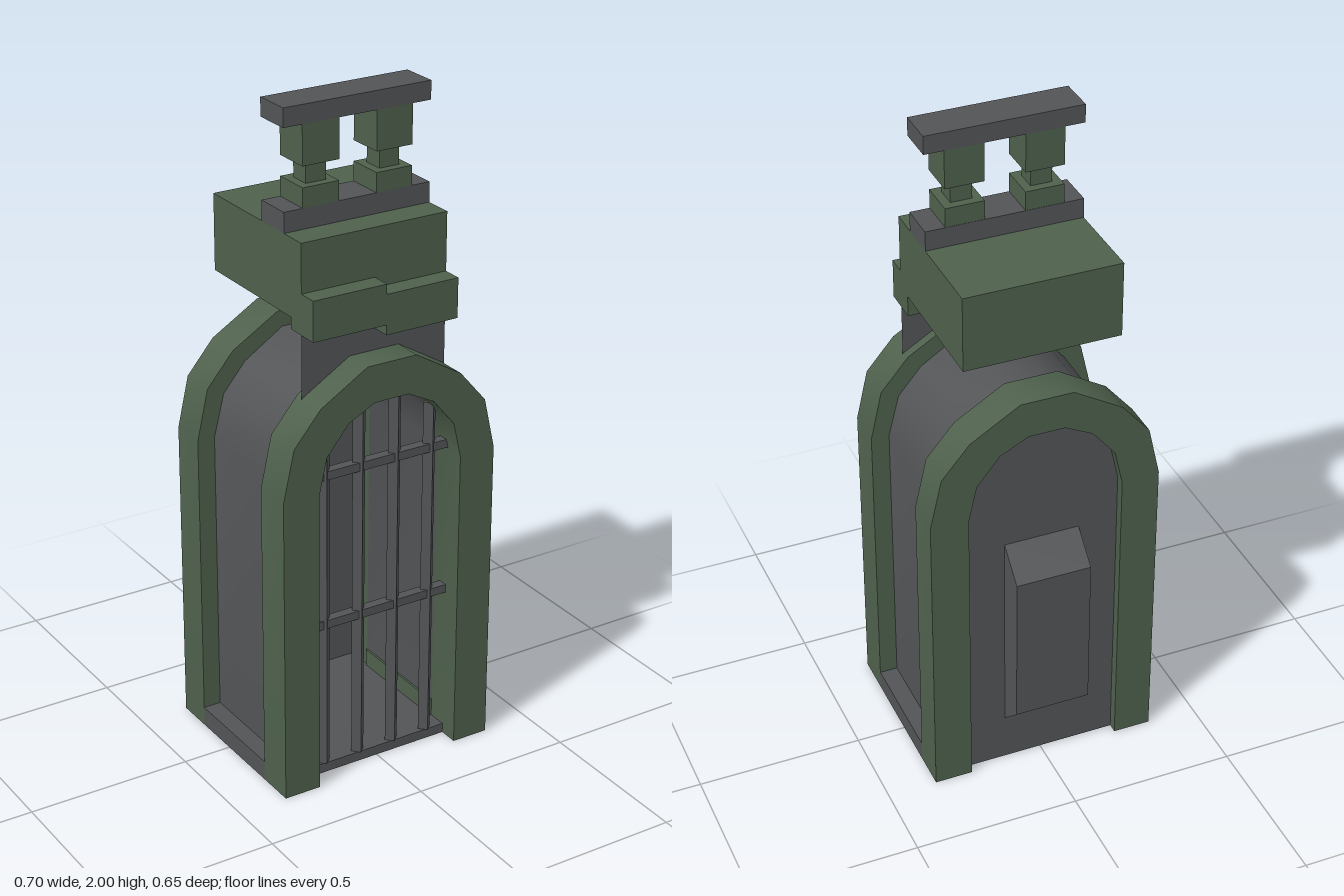
import * as THREE from 'three';
import { toCreasedNormals } from 'three/addons/utils/BufferGeometryUtils.js';

const green = new THREE.MeshStandardMaterial({ color: 0x4e604c, name: 'green paint' });
const grey = new THREE.MeshStandardMaterial({ color: 0x525456, name: 'grey metal' });
const greyThin = new THREE.MeshStandardMaterial({ color: 0x525456, name: 'grey sheet', side: THREE.DoubleSide });

// Half profiles of the arches, from the foot to the crown
const OUTER = [[0.35, 0], [0.35, 0.945], [0.315, 1.1], [0.23, 1.2], [0.08, 1.29]];
const CORE = [[0.295, 0], [0.295, 0.945], [0.262, 1.075], [0.19, 1.16], [0.065, 1.24]];
const INNER = [[0.235, 0], [0.235, 0.94], [0.21, 1.05], [0.14, 1.135], [0.055, 1.178]];

const mirrored = (half) => [...half, ...half.map(([x, y]) => [-x, y]).reverse()];
const points = (list) => list.map(([x, y]) => new THREE.Vector2(x, y));

export function createModel() {
  const model = new THREE.Group();
  model.name = 'archedCabinet';

  function add(name, geometry, material, parent = model) {
    const mesh = new THREE.Mesh(geometry, material);
    mesh.name = name;
    parent.add(mesh);
    return mesh;
  }

  // Box given by its limits on each axis
  function box(name, material, [x0, x1], [y0, y1], [z0, z1], parent) {
    const mesh = add(name, new THREE.BoxGeometry(x1 - x0, y1 - y0, z1 - z0), material, parent);
    mesh.position.set((x0 + x1) / 2, (y0 + y1) / 2, (z0 + z1) / 2);
    return mesh;
  }

  // Horseshoe-shaped wall, open at the bottom
  function arch(name, half, material, z0, z1) {
    const outline = [...mirrored(half), ...mirrored(INNER).reverse()];
    const geometry = new THREE.ExtrudeGeometry(new THREE.Shape(points(outline)), { depth: z1 - z0, bevelEnabled: false });
    add(name, toCreasedNormals(geometry, 0.61), material).position.z = z0;
  }

  arch('frontArch', OUTER, green, 0.205, 0.325);
  arch('backArch', OUTER, green, -0.265, -0.15);
  arch('vault', CORE, grey, -0.15, 0.205);

  // Floor, side sills and inner skirting
  box('floor', grey, [-0.235, 0.235], [0, 0.03], [-0.235, 0.265]);
  for (const s of [-1, 1]) {
    const span = (a, b) => (s > 0 ? [a, b] : [-b, -a]);
    box('sideSill', grey, span(0.295, 0.35), [0, 0.06], [-0.15, 0.205]);
    box('skirting', green, span(0.229, 0.235), [0.03, 0.085], [-0.15, 0.205]);
  }

  // Back wall with an opening for the pod
  const wall = new THREE.Shape(points(mirrored(INNER)));
  wall.holes.push(new THREE.Path(points([[-0.115, 0.15], [-0.115, 0.8], [0.115, 0.8], [0.115, 0.15]])));
  add('backWall', new THREE.ShapeGeometry(wall), greyThin).position.z = -0.235;

  // Hollow pod with sloping top and bottom, open towards the inside
  const profile = [[0.15, -0.235], [0.235, -0.325], [0.715, -0.325], [0.8, -0.235]];
  const verts = [];
  const quad = (a, b, c, d) => verts.push(...a, ...b, ...c, ...a, ...c, ...d);
  const at = (x, i) => [x, ...profile[i]];
  for (let i = 0; i < 3; i++) quad(at(-0.115, i), at(-0.115, i + 1), at(0.115, i + 1), at(0.115, i));
  quad(at(0.115, 0), at(0.115, 1), at(0.115, 2), at(0.115, 3));
  quad(at(-0.115, 3), at(-0.115, 2), at(-0.115, 1), at(-0.115, 0));
  const pod = new THREE.BufferGeometry();
  pod.setAttribute('position', new THREE.Float32BufferAttribute(verts, 3));
  pod.computeVertexNormals();
  add('backPod', pod, greyThin);

  // Green panels inside the pod
  for (const [y0, y1] of [[0.27, 0.39], [0.43, 0.53], [0.56, 0.68]]) {
    for (const x of [-0.05, 0.05]) box('podPanel', green, [x - 0.043, x + 0.043], [y0, y1], [-0.318, -0.31]);
  }

  // Grille of four-sided bars
  const grille = new THREE.Group();
  grille.name = 'grille';
  model.add(grille);
  [-0.177, -0.059, 0.059, 0.177].forEach((x, i) => {
    const top = i === 0 || i === 3 ? 1.1 : 1.178;
    const bar = add('uprightBar', new THREE.CylinderGeometry(0.021, 0.021, top - 0.03, 4).toNonIndexed(), grey, grille);
    bar.geometry.computeVertexNormals();
    bar.position.set(x, (top + 0.03) / 2, 0.25);
  });
  for (const y of [0.49, 0.96]) box('crossBar', grey, [-0.235, 0.235], [y - 0.013, y + 0.013], [0.235, 0.265], grille);

  // Thin neck sheet carrying the head
  const neck = add('neckSheet', new THREE.PlaneGeometry(0.47, 0.24), greyThin);
  neck.position.set(0, 1.31, 0.234);

  // Head block with a stepped front lip
  box('head', green, [-0.235, 0.235], [1.42, 1.65], [-0.235, 0.235]);
  box('lipRight', green, [-0.235, 0], [1.385, 1.505], [0.18, 0.295]);
  box('lipLeft', green, [0, 0.235], [1.355, 1.475], [0.18, 0.295]);

  // Insulator-like stand: rail, two posts, top rail
  box('lowerRail', grey, [-0.235, 0.235], [1.65, 1.71], [0.03, 0.147]);
  for (const x of [-0.118, 0.118]) {
    const block = (name, r, y0, y1) => box(name, green, [x - r, x + r], [y0, y1], [0.089 - r, 0.089 + r]);
    block('postFoot', 0.058, 1.71, 1.768);
    block('postNeck', 0.032, 1.768, 1.828);
    block('postHead', 0.058, 1.828, 1.945);
  }
  box('topRail', grey, [-0.235, 0.235], [1.945, 2], [0.03, 0.147]);

  return model;
}
